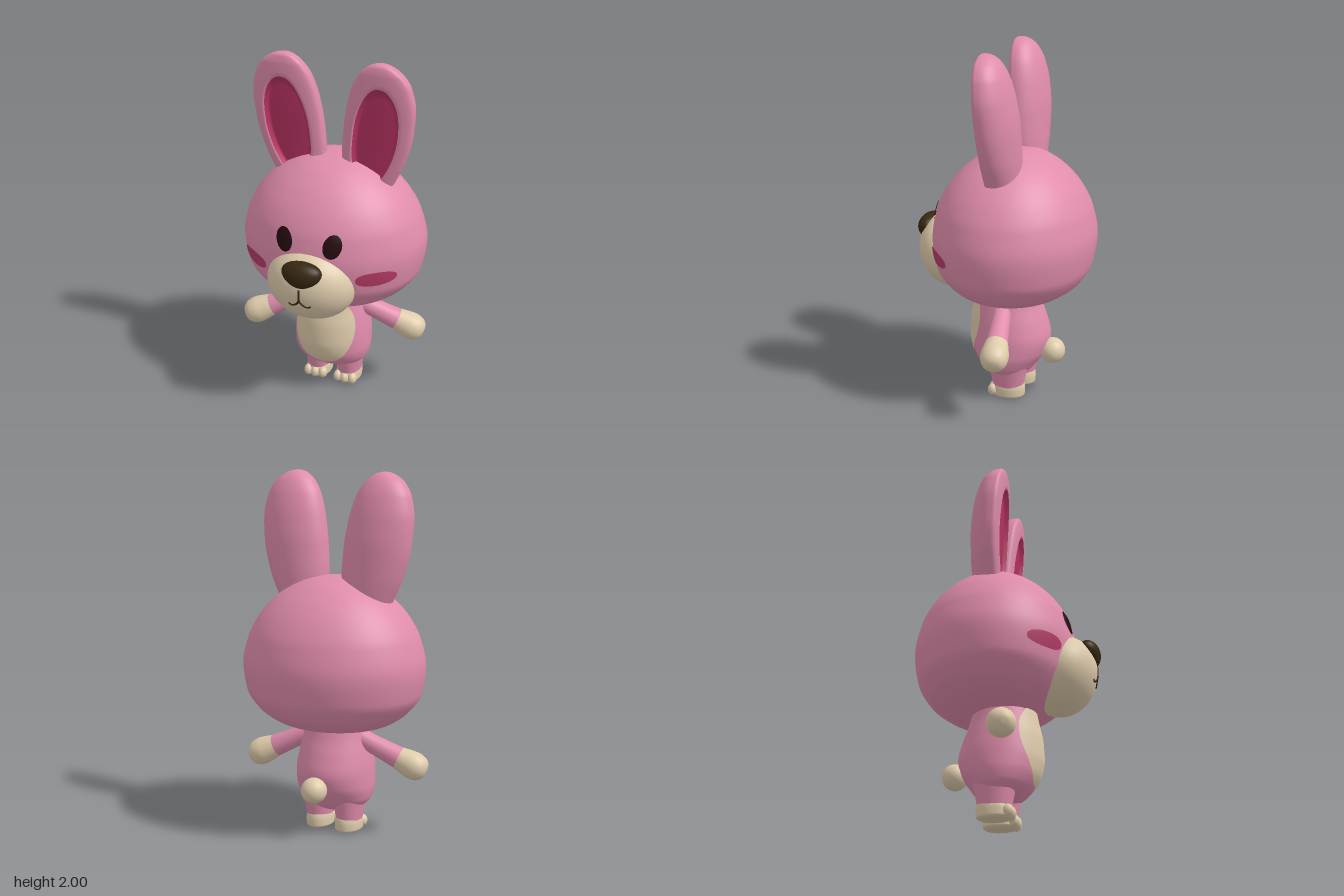
import * as THREE from 'three';

const mat = (name, color, side = THREE.FrontSide) => {
  const m = new THREE.MeshStandardMaterial({ color });
  m.name = name;
  m.side = side;
  return m;
};

// Slope-limited smooth interpolation of rows [y, xInner, xOuter, zFront, zBack]
function sample(rows, y) {
  const n = rows.length;
  let i = 0;
  while (i < n - 2 && y > rows[i + 1][0]) i++;
  const h = rows[i + 1][0] - rows[i][0];
  const t = THREE.MathUtils.clamp((y - rows[i][0]) / h, 0, 1);
  const secant = (k, c) => (rows[k + 1][c] - rows[k][c]) / (rows[k + 1][0] - rows[k][0]);
  const slope = (k, c) => {
    if (k === 0) return secant(0, c);
    if (k === n - 1) return secant(n - 2, c);
    const a = secant(k - 1, c), b = secant(k, c);
    return a * b <= 0 ? 0 : (2 * a * b) / (a + b);
  };
  return [1, 2, 3, 4].map((c) => {
    const t2 = t * t, t3 = t2 * t;
    return (2 * t3 - 3 * t2 + 1) * rows[i][c] + (t3 - 2 * t2 + t) * h * slope(i, c)
      + (3 * t2 - 2 * t3) * rows[i + 1][c] + (t3 - t2) * h * slope(i + 1, c);
  });
}

// Point on a lofted form; u runs across (-1..1), s is front (+) or back (-)
function pointOn(form, u, s, y) {
  const [xi, xo, zf, zb] = sample(form.rows, y);
  const zm = zf + (zb - zf) * form.mid;
  let z = s >= 0 ? zm + (zf - zm) * Math.pow(s, form.flat) : zm - (zb - zm) * s;
  if (s > 0 && form.recess) z -= form.recess(u, y);
  return [(xi + xo) / 2 + ((xo - xi) / 2) * u, y, z];
}

function gridGeometry(positions, levels, seg) {
  const index = [];
  for (let i = 0; i < levels - 1; i++) for (let j = 0; j < seg; j++) {
    const k = (j + 1) % seg;
    const a = i * seg + j, b = a + seg, c = i * seg + k, d = c + seg;
    index.push(a, b, c, c, b, d);
  }
  const g = new THREE.BufferGeometry();
  g.setAttribute('position', new THREE.Float32BufferAttribute(positions, 3));
  g.setIndex(index);
  g.computeVertexNormals();
  return g;
}

function loft(form, seg = 64, sub = 6) {
  const ys = [];
  form.rows.forEach((r, i) => {
    if (i) for (let k = 1; k <= sub; k++) ys.push(THREE.MathUtils.lerp(form.rows[i - 1][0], r[0], k / sub));
    else ys.push(r[0]);
  });
  const pos = [];
  for (const y of ys) for (let j = 0; j < seg; j++) {
    const a = (j / seg) * Math.PI * 2;
    pos.push(...pointOn(form, Math.cos(a), Math.sin(a), y));
  }
  return gridGeometry(pos, ys.length, seg);
}

// Thin oval laid on the front of a form; "across" means cu and ru are in u, not x
function patch(form, cu, cy, ru, ry, { lift = 0.006, bulge = 0, power = 2, across = false, tilt = 0 } = {}) {
  const rings = 24, seg = 72, pos = [];
  const bend = (v) => Math.sign(v) * Math.pow(Math.abs(v), 2 / power);
  for (let i = 0; i <= rings; i++) for (let j = 0; j < seg; j++) {
    const s = i / rings, a = (j / seg) * Math.PI * 2;
    const y = cy + ry * s * bend(Math.sin(a));
    let u = cu + ru * s * bend(Math.cos(a)) + tilt * (y - cy);
    if (!across) u /= sample(form.rows, y)[1];
    u = THREE.MathUtils.clamp(u, -1, 1);
    const p = pointOn(form, u, Math.sqrt(1 - u * u), y);
    pos.push(p[0], p[1], p[2] + lift + bulge * (1 - s * s));
  }
  return gridGeometry(pos, rings + 1, seg);
}

const symmetric = (rows) => rows.map(([y, w, f, b]) => [y, -w, w, f, b]);

const head = { mid: 0.5, flat: 1, rows: symmetric([
  [0.588, 0, -0.06, -0.06], [0.595, 0.17, 0.09, -0.21], [0.62, 0.3, 0.195, -0.32],
  [0.65, 0.365, 0.255, -0.375], [0.7, 0.43, 0.31, -0.435], [0.8, 0.5, 0.366, -0.492],
  [0.95, 0.521, 0.386, -0.513], [1.1, 0.487, 0.362, -0.485], [1.2, 0.435, 0.32, -0.44],
  [1.3, 0.35, 0.245, -0.365], [1.38, 0.24, 0.15, -0.27], [1.42, 0.15, 0.07, -0.19],
  [1.435, 0.075, 0, -0.125], [1.44, 0, -0.06, -0.06]]) };

const body = { mid: 0.5, flat: 1, rows: symmetric([
  [0.115, 0, -0.05, -0.05], [0.125, 0.1, 0.02, -0.13], [0.15, 0.17, 0.08, -0.165],
  [0.2, 0.21, 0.135, -0.205], [0.27, 0.222, 0.175, -0.25], [0.35, 0.22, 0.19, -0.268],
  [0.45, 0.208, 0.185, -0.245], [0.55, 0.188, 0.165, -0.21], [0.68, 0.165, 0.14, -0.18]]) };

const ear = { mid: 0.35, flat: 0.5,
  recess: (u, y) => {
    const q = Math.pow(Math.pow(Math.abs(u) / 0.68, 2.4) + Math.pow(Math.abs(y - 1.57) / 0.31, 2.4), 1 / 2.4);
    return 0.035 * (1 - THREE.MathUtils.smoothstep(q, 0.8, 1.03));
  },
  rows: [
    [1.28, 0.06, 0.33, 0.01, -0.16], [1.45, 0.05, 0.405, 0.02, -0.167], [1.6, 0.06, 0.442, 0.03, -0.165],
    [1.75, 0.083, 0.454, 0.04, -0.148], [1.87, 0.118, 0.433, 0.045, -0.118], [1.94, 0.16, 0.392, 0.046, -0.085],
    [1.98, 0.205, 0.34, 0.04, -0.05], [1.995, 0.24, 0.302, 0.03, -0.02], [2, 0.27, 0.27, 0.01, 0.01]] };

const foot = { mid: 0.5, flat: 0.8, rows: [
  [0, 0.093, 0.093, -0.05, -0.05], [0.002, 0.035, 0.15, 0.02, -0.135], [0.015, 0.021, 0.164, 0.036, -0.152],
  [0.05, 0.02, 0.165, 0.036, -0.154], [0.078, 0.024, 0.161, 0.028, -0.15], [0.086, 0.03, 0.155, 0.02, -0.143],
  [0.088, 0.093, 0.093, -0.05, -0.05]] };

export function createModel() {
  const model = new THREE.Group();
  model.name = 'rabbit';
  const pink = mat('pink fur', 0xe08cac);
  const cream = mat('cream fur', 0xdecbab);
  const rose = mat('rose inner ear', 0xb83362);
  const blush = mat('blush cheek', 0xb53c66);
  const black = mat('eye black', 0x260c10);
  const brown = mat('nose brown', 0x382711);

  const add = (name, geometry, material, parent = model) => {
    const m = new THREE.Mesh(geometry, material);
    m.name = name;
    parent.add(m);
    return m;
  };
  const ball = (name, material, p, r, parent = model) => {
    const m = add(name, new THREE.SphereGeometry(1, 40, 28), material, parent);
    m.position.set(...p);
    m.scale.set(...r);
    return m;
  };

  add('head', loft(head), pink);
  add('body', loft(body), pink);
  add('belly', patch(body, 0, 0.43, 0.178, 0.23), cream);
  ball('tail', cream, [0, 0.275, -0.288], [0.072, 0.072, 0.072]);

  // Muzzle tilts so its top leans forward
  ball('muzzle', cream, [0, 0.82, 0.3], [0.25, 0.22, 0.19]).rotation.x = 0.4;

  // Nose, wider at the top
  const noseShape = new THREE.SphereGeometry(1, 40, 28);
  const p = noseShape.attributes.position;
  for (let i = 0; i < p.count; i++) p.setX(i, p.getX(i) * (1 + 0.22 * p.getY(i)));
  noseShape.computeVertexNormals();
  const nose = add('nose', noseShape, brown);
  nose.position.set(0, 0.936, 0.447);
  nose.scale.set(0.11, 0.076, 0.068);

  // Mouth lines
  const line = (name, pts) => add(name, new THREE.TubeGeometry(
    new THREE.CatmullRomCurve3(pts.map((q) => new THREE.Vector3(...q))), 16, 0.006, 8), brown);
  line('mouthStem', [[0, 0.87, 0.492], [0, 0.83, 0.494], [0, 0.79, 0.49]]);
  for (const s of [-1, 1]) line('mouthCurve',
    [[0, 0.798, 0.491], [s * 0.022, 0.773, 0.483], [s * 0.045, 0.763, 0.477], [s * 0.064, 0.772, 0.475]]);

  // Mirrored parts
  for (const s of [1, -1]) {
    const side = new THREE.Group();
    side.name = s > 0 ? 'leftSide' : 'rightSide';
    side.scale.x = s;
    model.add(side);

    add('ear', loft(ear, 128, 9), pink, side);
    add('innerEar', patch(ear, 0, 1.57, 0.65, 0.3, { power: 2.4, across: true, lift: 0.005 }), rose, side);
    add('eye', patch(head, 0.137, 1.08, 0.05, 0.065, { lift: 0.004, bulge: 0.006, tilt: 0.08 }), black, side);
    add('cheek', patch(head, 0.35, 0.885, 0.092, 0.043, { lift: 0.007, power: 2.3 }), blush, side);

    const leg = add('leg', new THREE.CylinderGeometry(0.095, 0.07, 0.16, 40), pink, side);
    leg.position.set(0.094, 0.15, -0.055);
    leg.scale.z = 1.3;
    add('foot', loft(foot, 48, 4), cream, side);
    for (const k of [-1, 0, 1]) {
      ball('toe', cream, [0.0925 + k * 0.045, 0.037, k ? 0.022 : 0.028], [0.026, 0.034, 0.03], side);
    }
  }

  // Arms: one swings slightly back, the other slightly forward
  const spun = (pts) => new THREE.LatheGeometry(
    new THREE.SplineCurve(pts.map(([r, y]) => new THREE.Vector2(r, y))).getPoints(20), 36);
  const sleeve = spun([[0.05, 0], [0.053, 0.1], [0.057, 0.18], [0.062, 0.255]]);
  const hand = spun([[0.0625, 0.255], [0.073, 0.31], [0.077, 0.35], [0.068, 0.392], [0.042, 0.42], [0, 0.429]]);
  for (const [s, z] of [[1, -0.108], [-1, 0.04]]) {
    const arm = new THREE.Group();
    arm.name = s > 0 ? 'leftArm' : 'rightArm';
    const from = new THREE.Vector3(s * 0.14, 0.545, -0.04);
    const to = new THREE.Vector3(s * 0.45, 0.395, z);
    arm.position.copy(from);
    arm.quaternion.setFromUnitVectors(new THREE.Vector3(0, 1, 0), to.sub(from).normalize());
    add('sleeve', sleeve, pink, arm);
    add('hand', hand, cream, arm);
    model.add(arm);
  }
  return model;
}
